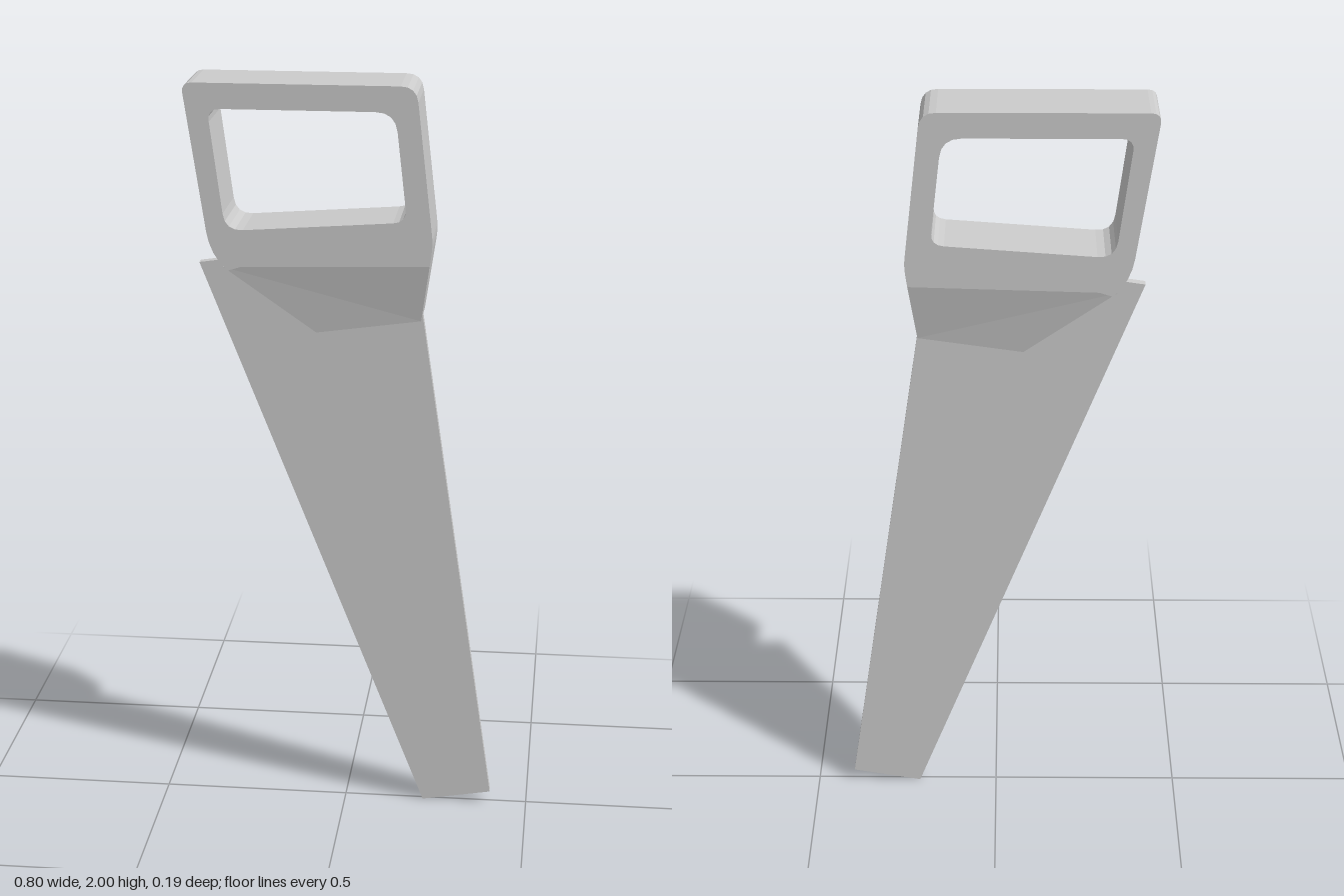
import * as THREE from 'three';

const material = new THREE.MeshStandardMaterial({ color: 0xcccccc, flatShading: true });
const HALF = 0.094; // half depth of the grip
const TIP = 0.065; // half depth at the end of the tapered collar
const SEAM = [[-0.305, 1.53], [0.222, 1.545]]; // line where grip meets collar

// Closed outline from [x, y, radius] corners; a radius rounds that corner.
function outline(points, target = new THREE.Shape()) {
  const n = points.length;
  const at = (i) => new THREE.Vector2(...points[(i + n) % n]);
  points.forEach(([x, y, r = 0], i) => {
    const p = new THREE.Vector2(x, y);
    const toward = (q) => q.sub(p).setLength(r).add(p);
    const a = r ? toward(at(i - 1)) : p;
    if (i === 0) target.moveTo(a.x, a.y);
    else target.lineTo(a.x, a.y);
    if (r) {
      const b = toward(at(i + 1));
      target.quadraticCurveTo(x, y, b.x, b.y);
    }
  });
  target.closePath();
  return target;
}

function extrude(shape, half) {
  return new THREE.ExtrudeGeometry(shape, { depth: half * 2, bevelEnabled: false, curveSegments: 4 })
    .translate(0, 0, -half);
}

// Drop the hidden wall along the seam so the two handle pieces form one shell.
function openSeam(geometry) {
  const p = geometry.attributes.position;
  const onSeam = (i) => SEAM.some(([x, y]) => Math.hypot(p.getX(i) - x, p.getY(i) - y) < 1e-4);
  const kept = [];
  for (let i = 0; i < p.count; i += 3) {
    if (onSeam(i) && onSeam(i + 1) && onSeam(i + 2)) continue;
    for (let k = i; k < i + 3; k++) kept.push(p.getX(k), p.getY(k), p.getZ(k));
  }
  const result = new THREE.BufferGeometry();
  result.setAttribute('position', new THREE.Float32BufferAttribute(kept, 3));
  result.computeVertexNormals();
  return result;
}

function addMesh(parent, name, geometry) {
  const mesh = new THREE.Mesh(geometry, material);
  mesh.name = name;
  parent.add(mesh);
}

export function createModel() {
  const saw = new THREE.Group();
  saw.name = 'handSaw';

  // Blade: thin tapering plate whose heel runs up into the handle
  const bladeShape = outline([[0.215, 0.003], [0.4, 0.035], [0.17, 1.6], [-0.38, 1.52]]);
  addMesh(saw, 'blade', extrude(bladeShape, 0.012));

  const handle = new THREE.Group();
  handle.name = 'handle';
  saw.add(handle);

  // Grip: thick rounded loop with a finger opening
  const grip = outline([
    SEAM[0], SEAM[1], [0.23, 1.6, 0.025], [0.185, 2, 0.04],
    [-0.404, 2, 0.028], [-0.338, 1.562, 0.06],
  ]);
  grip.holes.push(outline([
    [-0.298, 1.624, 0.045], [0.164, 1.657, 0.035], [0.133, 1.935, 0.05], [-0.339, 1.935, 0.033],
  ], new THREE.Path()));
  addMesh(handle, 'grip', openSeam(extrude(grip, HALF)));

  // Collar: continues the grip and thins toward the blade
  const collar = extrude(outline([SEAM[0], [-0.07, 1.355], [0.2, 1.393], SEAM[1]]), HALF);
  const pos = collar.attributes.position;
  for (let i = 0; i < pos.count; i++) {
    if (pos.getY(i) < 1.45) pos.setZ(i, Math.sign(pos.getZ(i)) * TIP);
  }
  addMesh(handle, 'collar', openSeam(collar));

  return saw;
}
